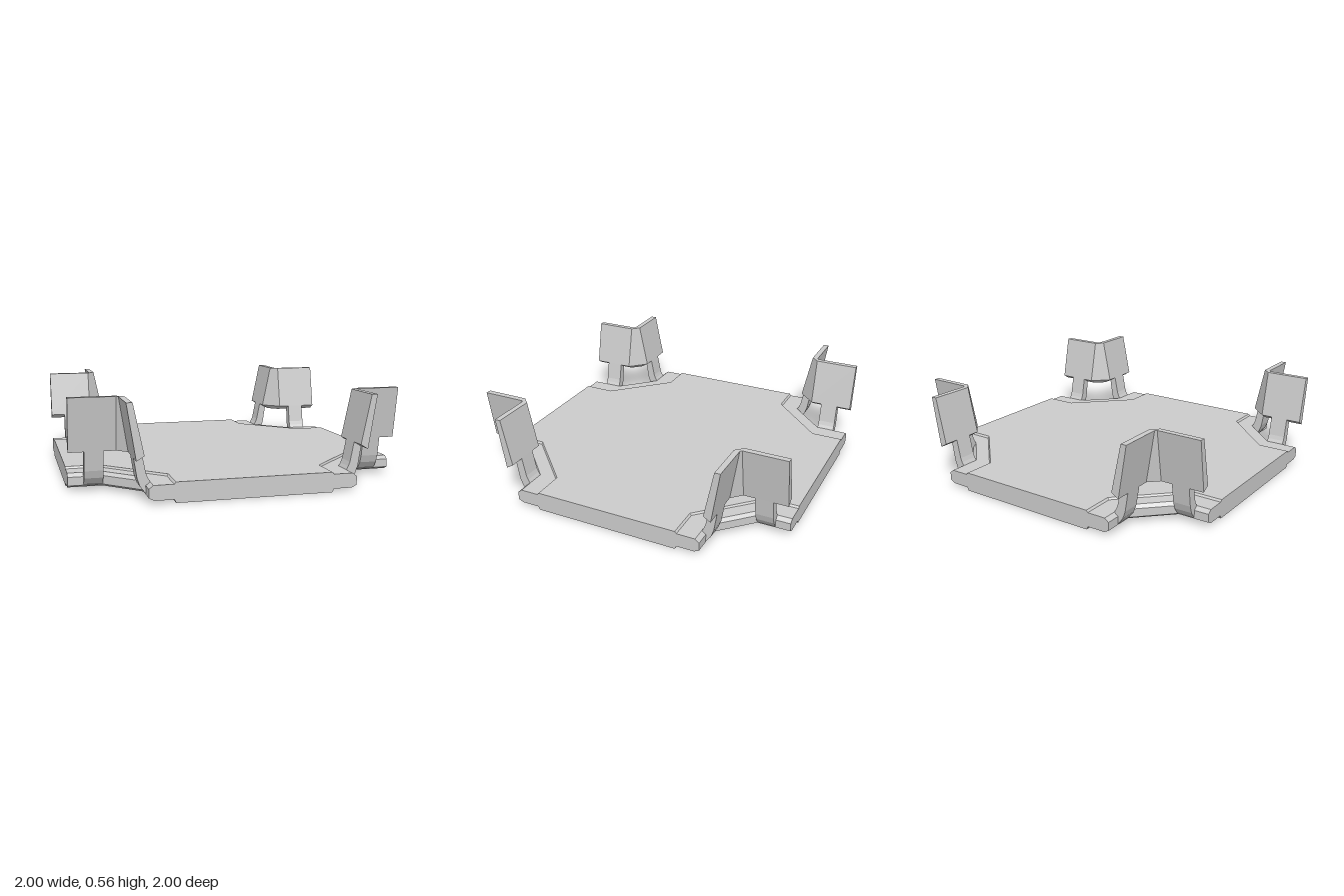
import * as THREE from 'three';

const material = new THREE.MeshStandardMaterial({ color: 0xcccccc, flatShading: true });

// Skin a row of closed rings (arrays of [x, y, z]) and cap both ends.
function loft(rings) {
  const pos = [];
  const tri = (...pts) => {
    const [a, b, c] = pts.map((p) => new THREE.Vector3(...p));
    if (b.sub(a).cross(c.sub(a)).length() > 1e-7) pts.forEach((p) => pos.push(...p));
  };
  const n = rings[0].length;
  for (let i = 0; i < rings.length - 1; i++) {
    for (let j = 0; j < n; j++) {
      const k = (j + 1) % n;
      const a = rings[i][j], b = rings[i][k], c = rings[i + 1][k], d = rings[i + 1][j];
      tri(a, d, c);
      tri(a, c, b);
    }
  }
  const centre = (ring) => [0, 1, 2].map((k) => ring.reduce((s, p) => s + p[k], 0) / n);
  const first = rings[0], last = rings[rings.length - 1];
  for (let j = 0; j < n; j++) {
    const k = (j + 1) % n;
    tri(centre(first), first[j], first[k]);
    tri(centre(last), last[k], last[j]);
  }
  const geometry = new THREE.BufferGeometry();
  geometry.setAttribute('position', new THREE.Float32BufferAttribute(pos, 3));
  geometry.computeVertexNormals();
  return geometry;
}

// Square outline with a notched, chamfered corner in every quadrant.
function outline(c, y) {
  const ring = [];
  for (let q = 0; q < 4; q++) {
    const cos = [1, 0, -1, 0][q], sin = [0, 1, 0, -1][q];
    for (const [x, z] of [[1, c], [0.8, c], [c, 0.8], [c, 1]]) {
      ring.push([x * cos - z * sin, y, x * sin + z * cos]);
    }
  }
  return ring;
}

function addMesh(parent, name, geometry) {
  const mesh = new THREE.Mesh(geometry, material);
  mesh.name = name;
  parent.add(mesh);
  return mesh;
}

function createCorner() {
  const corner = new THREE.Group();
  corner.name = 'cornerGuard';

  // Leaning guard panel folded around the corner: profile is [distance, height]
  const profile = [[0.625, 0.267], [0.685, 0.555], [0.72, 0.555], [0.67, 0.24]];
  const stations = [
    (d) => [1, d],
    (d) => [0.73, d],
    (d) => [d, 0.73],
    (d) => [d, 1],
  ];
  addMesh(corner, 'guardPanel', loft(stations.map((at) => profile.map(([d, y]) => {
    const [x, z] = at(d);
    return [x, y, z];
  }))));

  // Two curved brackets rising from the rim to the panel
  const shape = new THREE.Shape([
    [0.55, 0.02], [0.575, 0.02], [0.602, 0.035], [0.636, 0.08], [0.652, 0.125], [0.67, 0.24],
    [0.625, 0.267], [0.602, 0.15], [0.592, 0.125], [0.58, 0.105], [0.55, 0.105],
  ].map(([d, y]) => new THREE.Vector2(d, y)));
  const bracket = new THREE.ExtrudeGeometry(shape, { depth: 0.11, bevelEnabled: false });
  addMesh(corner, 'bracket', bracket.clone().translate(0, 0, 0.8));
  addMesh(corner, 'bracket', bracket.clone().translate(0, 0, -0.91).rotateY(-Math.PI / 2));
  return corner;
}

export function createModel() {
  const model = new THREE.Group();
  model.name = 'tray';

  // Base slab with a thinner, chamfered rim in the corner notches
  const levels = [
    [0.455, 0], [0.465, 0.02], [0.575, 0.02], [0.605, 0.035],
    [0.605, 0.085], [0.58, 0.105], [0.465, 0.105], [0.455, 0.117],
  ];
  addMesh(model, 'baseSlab', loft(levels.map(([c, y]) => outline(c, y))));

  // One guard on each corner
  for (let q = 0; q < 4; q++) {
    const corner = createCorner();
    corner.rotation.y = (q * Math.PI) / 2;
    model.add(corner);
  }
  return model;
}
